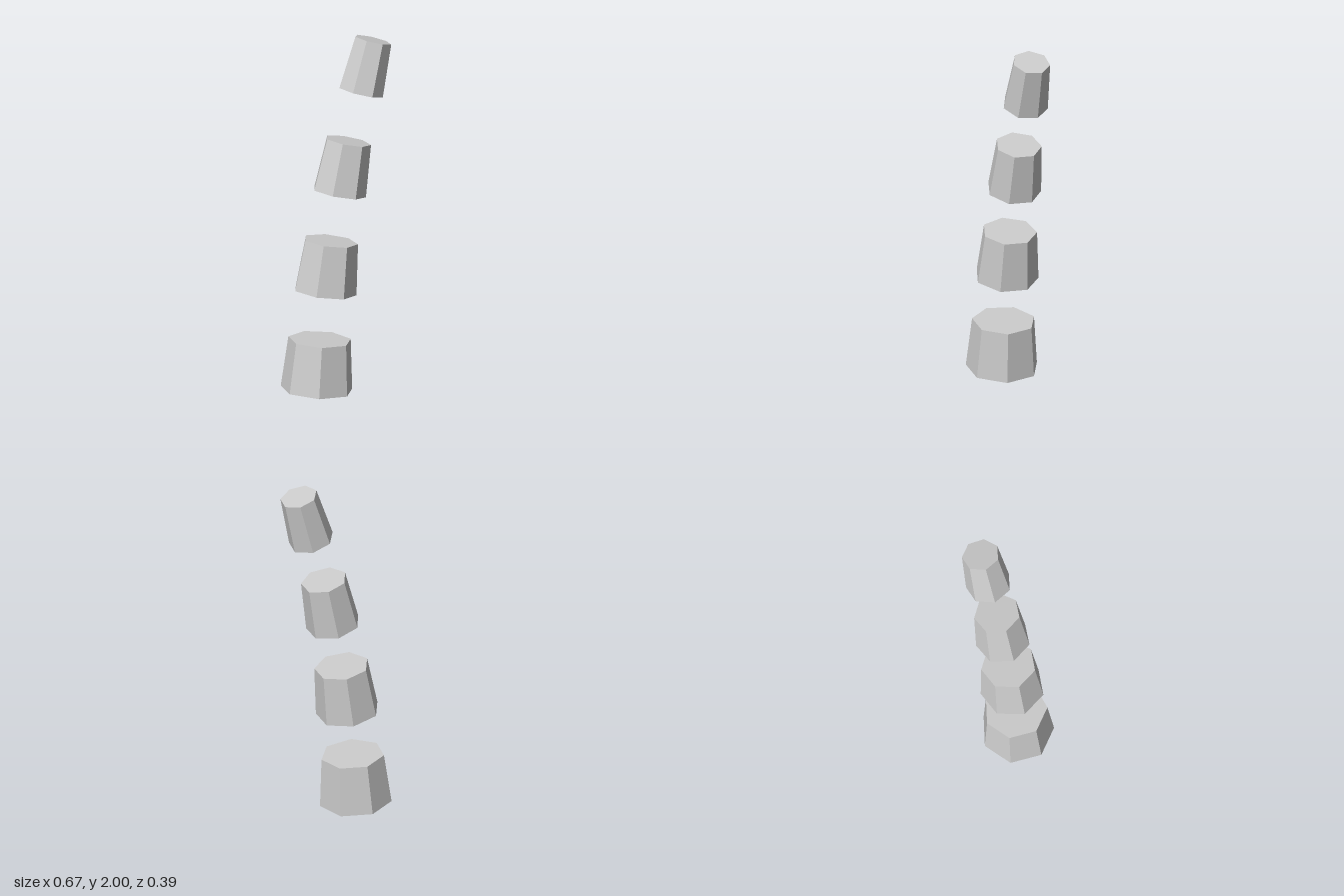
import * as THREE from 'three';

// Seven-sided tapered blocks, bottom to top:
// centre x and y, top and bottom radius, height, lean and twist in degrees
const SEGMENTS = [
  { x: -0.127, y: 0.158, top: 0.177, bottom: 0.203, height: 0.286, lean: 4, twist: -8 },
  { x: -0.067, y: 0.716, top: 0.153, bottom: 0.178, height: 0.288, lean: 8, twist: 10 },
  { x: 0.039, y: 1.273, top: 0.129, bottom: 0.152, height: 0.294, lean: 12, twist: 9 },
  { x: 0.194, y: 1.83, top: 0.105, bottom: 0.127, height: 0.298, lean: 16, twist: 16 },
];

export function createModel() {
  const model = new THREE.Group();
  model.name = 'leaningSegmentedColumn';
  const material = new THREE.MeshStandardMaterial({ color: 0xcccccc, flatShading: true });

  SEGMENTS.forEach((s, i) => {
    // One corner points towards -x, turned by the twist
    const start = -THREE.MathUtils.degToRad(90 + s.twist);
    const geometry = new THREE.CylinderGeometry(s.top, s.bottom, s.height, 7, 1, false, start);
    const segment = new THREE.Mesh(geometry, material);
    segment.name = `trunkSegment${i + 1}`;
    segment.position.set(s.x, s.y, 0.005);
    segment.rotation.z = -THREE.MathUtils.degToRad(s.lean);
    model.add(segment);
  });

  return model;
}
